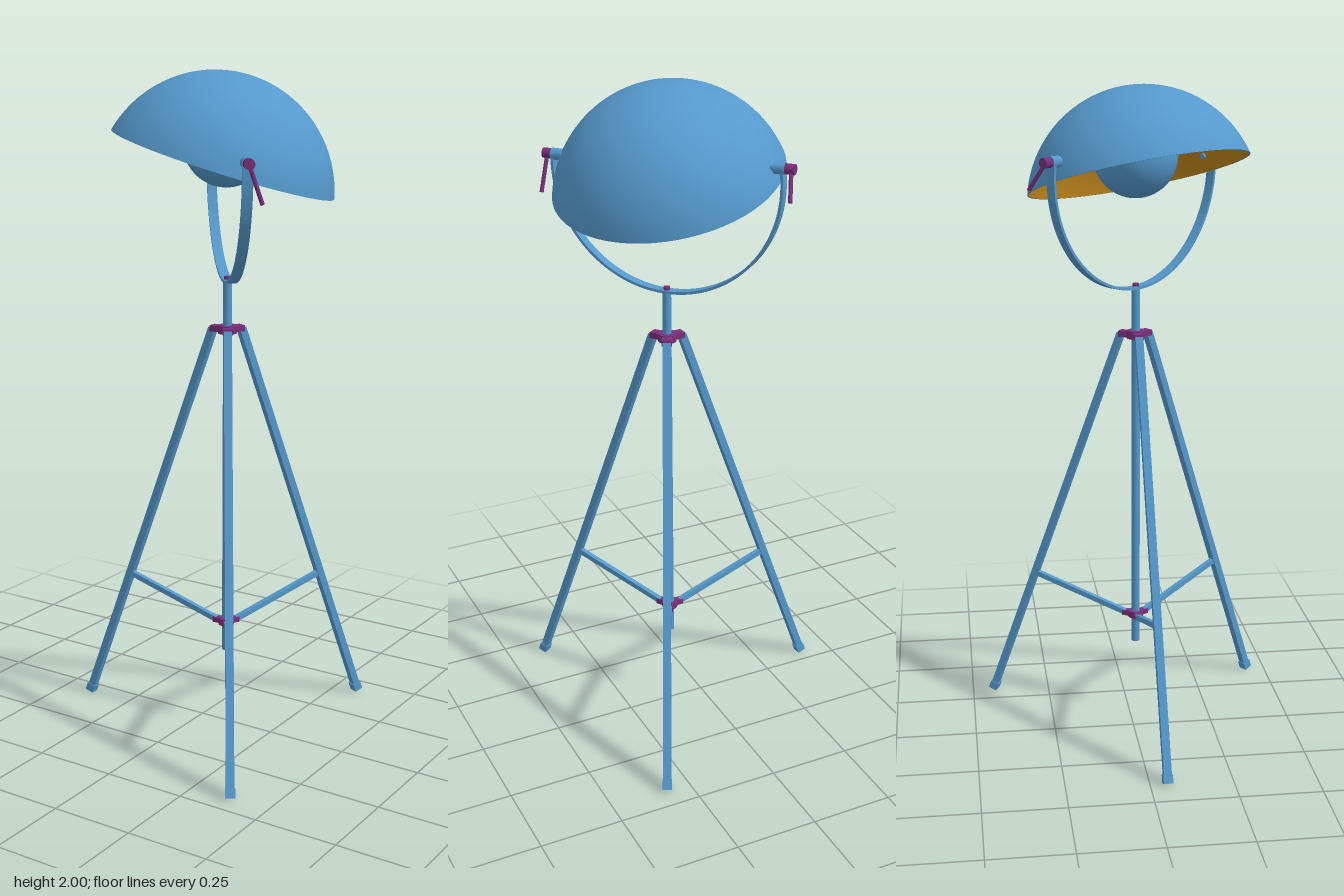
import * as THREE from 'three';

const paint = (color, side = THREE.FrontSide) => new THREE.MeshStandardMaterial({ color, side });
const V = (x, y, z) => new THREE.Vector3(x, y, z);

export function createModel() {
  const lamp = new THREE.Group();
  lamp.name = 'tripodLamp';
  const blue = paint(0x5599cc);
  const purple = paint(0x7a2f7a);
  const orange = paint(0xb8801a, THREE.BackSide);

  const add = (name, geometry, material, parent = lamp) => {
    const mesh = new THREE.Mesh(geometry, material);
    mesh.name = name;
    parent.add(mesh);
    return mesh;
  };
  // Straight member from a to b, its geometry running along z
  const place = (name, geometry, material, a, b) => {
    const mesh = add(name, geometry, material);
    mesh.position.copy(a).add(b).multiplyScalar(0.5);
    mesh.lookAt(b);
    return mesh;
  };
  const rod = (name, a, b, r, material, sides = 20) =>
    place(name, new THREE.CylinderGeometry(r, r, a.distanceTo(b), sides).rotateX(Math.PI / 2), material, a, b);
  const bar = (name, a, b, w, h, material) =>
    place(name, new THREE.BoxGeometry(w, h, a.distanceTo(b)), material, a, b);

  // Centre pole with its top cap
  const px = 0.1, pz = 0.02;
  rod('pole', V(px, 0.25, pz), V(px, 1.4, pz), 0.013, blue, 24);
  rod('poleCap', V(px, 1.39, pz), V(px, 1.412, pz), 0.01, purple);

  // Hubs, legs and braces
  rod('upperHub', V(px, 1.243, pz), V(px, 1.267, pz), 0.028, purple, 24);
  rod('lowerHub', V(px, 0.332, pz), V(px, 0.352, pz), 0.024, purple, 24);
  for (const degrees of [176.3, 56.3, -63.7]) {
    const a = THREE.MathUtils.degToRad(degrees);
    const at = (r, y) => V(px + r * Math.cos(a), y, pz + r * Math.sin(a));
    const legPoint = (y) => at(0.048 + 0.457 * (1 - y / 1.255), y);
    bar('leg', legPoint(1.255), legPoint(0.006), 0.024, 0.022, blue);
    bar('foot', legPoint(0.03), legPoint(0.006), 0.029, 0.027, blue);
    bar('upperLug', at(0.015, 1.255), at(0.052, 1.255), 0.03, 0.018, purple);
    bar('lowerLug', at(0.015, 0.342), at(0.042, 0.342), 0.022, 0.016, purple);
    bar('brace', at(0.034, 0.342), legPoint(0.44), 0.016, 0.016, blue);
  }

  // Flat curved yoke standing on the pole
  const yokeAngle = Math.atan2(0.757, 0.653);
  const yokeStart = 0.05, yokeEnd = Math.PI - 0.14;
  const strap = new THREE.Shape();
  strap.absarc(0, 0, 0.357, yokeStart, yokeEnd, true);
  strap.absarc(0, 0, 0.349, yokeEnd, yokeStart, false);
  const strapGeometry = new THREE.ExtrudeGeometry(strap, { depth: 0.03, bevelEnabled: false, curveSegments: 64 });
  const yoke = add('yoke', strapGeometry.translate(0, 0, -0.015), blue);
  yoke.position.set(px, 1.752, pz);
  yoke.rotation.y = -yokeAngle;

  // Pivot bolts, clamp knobs and levers at both yoke ends
  const pivots = [
    { side: 1, y: 1.768, tip: V(0.375, 1.66, 0.283) },
    { side: -1, y: 1.803, tip: V(-0.117, 1.725, -0.31) },
  ];
  for (const { side, y, tip } of pivots) {
    const at = (r) => V(px + side * r * Math.cos(yokeAngle), y, pz + side * r * Math.sin(yokeAngle));
    rod('pivotBolt', at(0.305), at(0.33), 0.009, blue);
    rod('pivotWasher', at(0.325), at(0.358), 0.017, blue);
    rod('clampKnob', at(0.356), at(0.386), 0.015, purple);
    rod('clampLever', at(0.374), tip, 0.006, purple, 12);
  }

  // Tilted shade: outer and inner shell joined by a rim
  const shade = new THREE.Group();
  shade.name = 'shade';
  shade.position.set(px, 1.783, pz);
  shade.quaternion.setFromUnitVectors(V(0, 1, 0), V(0.25, 0.956, -0.155).normalize());
  lamp.add(shade);
  const outer = 0.345, inner = 0.341, rise = 0.083, rimY = -0.048;
  const shell = (r) => new THREE.SphereGeometry(r, 64, 32, 0, Math.PI * 2, 0, Math.acos(rise / r));
  add('shadeOuter', shell(outer), blue, shade).position.y = rimY - rise;
  add('shadeInner', shell(inner), orange, shade).position.y = rimY - rise;
  const rimRadius = (r) => Math.sqrt(r * r - rise * rise);
  const rim = new THREE.RingGeometry(rimRadius(inner), rimRadius(outer), 64).rotateX(Math.PI / 2);
  add('shadeRim', rim, blue, shade).position.y = rimY;

  // Globe bulb and its socket under the crown
  add('bulb', new THREE.SphereGeometry(0.127, 40, 24), blue, shade).position.set(-0.01, 0.012, 0);
  add('socket', new THREE.CylinderGeometry(0.03, 0.03, 0.085, 24), blue, shade).position.set(-0.01, 0.165, 0);

  return lamp;
}
